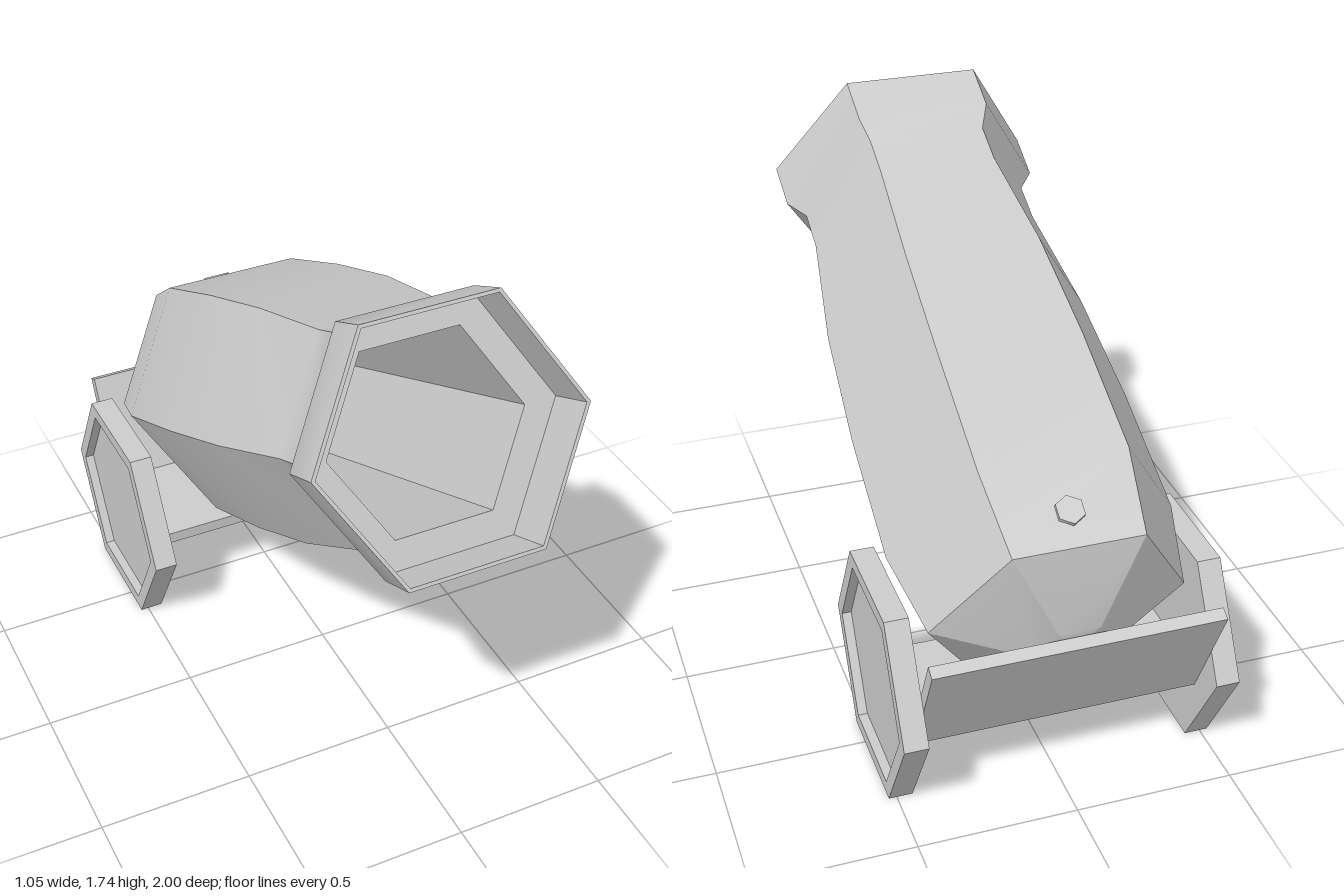
import * as THREE from 'three';
import { mergeGeometries } from 'three/addons/utils/BufferGeometryUtils.js';

const TILT = -26 * Math.PI / 180;
const material = new THREE.MeshStandardMaterial({ color: 0xcccccc });

// Hexagonal loft along z through [radius, z] pairs: smooth lengthwise, sharp between the six sides
function hexLoft(profile) {
  const sides = [];
  for (let i = 0; i < 6; i++) {
    const a = i * Math.PI / 3, b = a + Math.PI / 3;
    const pos = [], index = [];
    profile.forEach(([r, z], k) => {
      pos.push(r * Math.cos(a), r * Math.sin(a), z, r * Math.cos(b), r * Math.sin(b), z);
      if (k) {
        const p = 2 * k - 2;
        index.push(p, p + 2, p + 1, p + 1, p + 2, p + 3);
      }
    });
    const g = new THREE.BufferGeometry();
    g.setAttribute('position', new THREE.Float32BufferAttribute(pos, 3));
    g.setIndex(index);
    g.computeVertexNormals();
    sides.push(g);
  }
  return mergeGeometries(sides);
}

// Separate lofts for every segment, so each ring is a hard edge
function hardLoft(profile) {
  return mergeGeometries(profile.slice(1).map((p, i) => hexLoft([profile[i], p])));
}

function add(parent, name, geometry, x = 0, y = 0, z = 0) {
  const mesh = new THREE.Mesh(geometry, material);
  mesh.name = name;
  mesh.position.set(x, y, z);
  parent.add(mesh);
  return mesh;
}

export function createModel() {
  const model = new THREE.Group();
  model.name = 'mortar';

  // Barrel, origin at the centre of the muzzle, bore pointing along local +z
  const barrel = new THREE.Group();
  barrel.name = 'barrel';
  barrel.position.set(0, 1.405, 0.835);
  barrel.rotation.x = TILT;
  model.add(barrel);

  add(barrel, 'barrelShell', hexLoft([
    [0.433, 0], [0.431, -0.157], [0.38, -0.22], [0.38, -0.353],
    [0.431, -0.735], [0.452, -1.13], [0.455, -1.55], [0.4, -1.815],
  ]));
  add(barrel, 'breechCap', hexLoft([[0.4, -1.815], [0.13, -1.954], [0, -1.956]]));
  // Thin rim, stepped recess and deep bore
  add(barrel, 'muzzleBore', hardLoft([
    [0, -1.5], [0.315, -1.5], [0.315, -0.17], [0.418, -0.17], [0.42, 0], [0.433, 0],
  ]));

  // Touch hole stub, almost flush with the top of the breech
  const vent = add(model, 'ventStub', new THREE.CylinderGeometry(0.045, 0.045, 0.08, 6), 0, 0.962, -0.845);
  vent.rotation.set(-0.58, 0, 0);

  // Hexagonal wheels with a recessed outer face
  const wheelGeometry = hardLoft([
    [0, 0.045], [0.328, 0.045], [0.328, 0.075], [0.38, 0.075], [0.38, 0], [0, 0],
  ]);
  for (const side of [1, -1]) {
    const wheel = add(model, side > 0 ? 'leftWheel' : 'rightWheel', wheelGeometry, side * 0.45, 0.331, -0.585);
    wheel.rotation.y = side * Math.PI / 2;
  }

  // Carriage: tilted back board and level floor board
  const back = add(model, 'backBoard', new THREE.BoxGeometry(0.9, 0.42, 0.04), 0, 0.426, -0.89);
  back.rotation.x = TILT;
  add(model, 'floorBoard', new THREE.BoxGeometry(0.9, 0.04, 0.38), 0, 0.265, -0.61);

  // Loft sections run front to back on the shell, so fix its winding where needed
  const flip = (g) => {
    const index = g.index.array;
    for (let i = 0; i < index.length; i += 3) [index[i], index[i + 1]] = [index[i + 1], index[i]];
    const n = g.attributes.normal.array;
    for (let i = 0; i < n.length; i++) n[i] = -n[i];
  };
  // Profiles going outward then toward -z face outward already; verify with the first shell normal
  model.traverse((o) => {
    if (o.name !== 'barrelShell') return;
    const p = o.geometry.attributes.position, n = o.geometry.attributes.normal;
    const inward = p.getX(0) * n.getX(0) + p.getY(0) * n.getY(0) < 0;
    if (inward) ['barrelShell', 'breechCap', 'muzzleBore', 'leftWheel'].forEach((name) => flip(model.getObjectByName(name).geometry));
  });
  return model;
}
